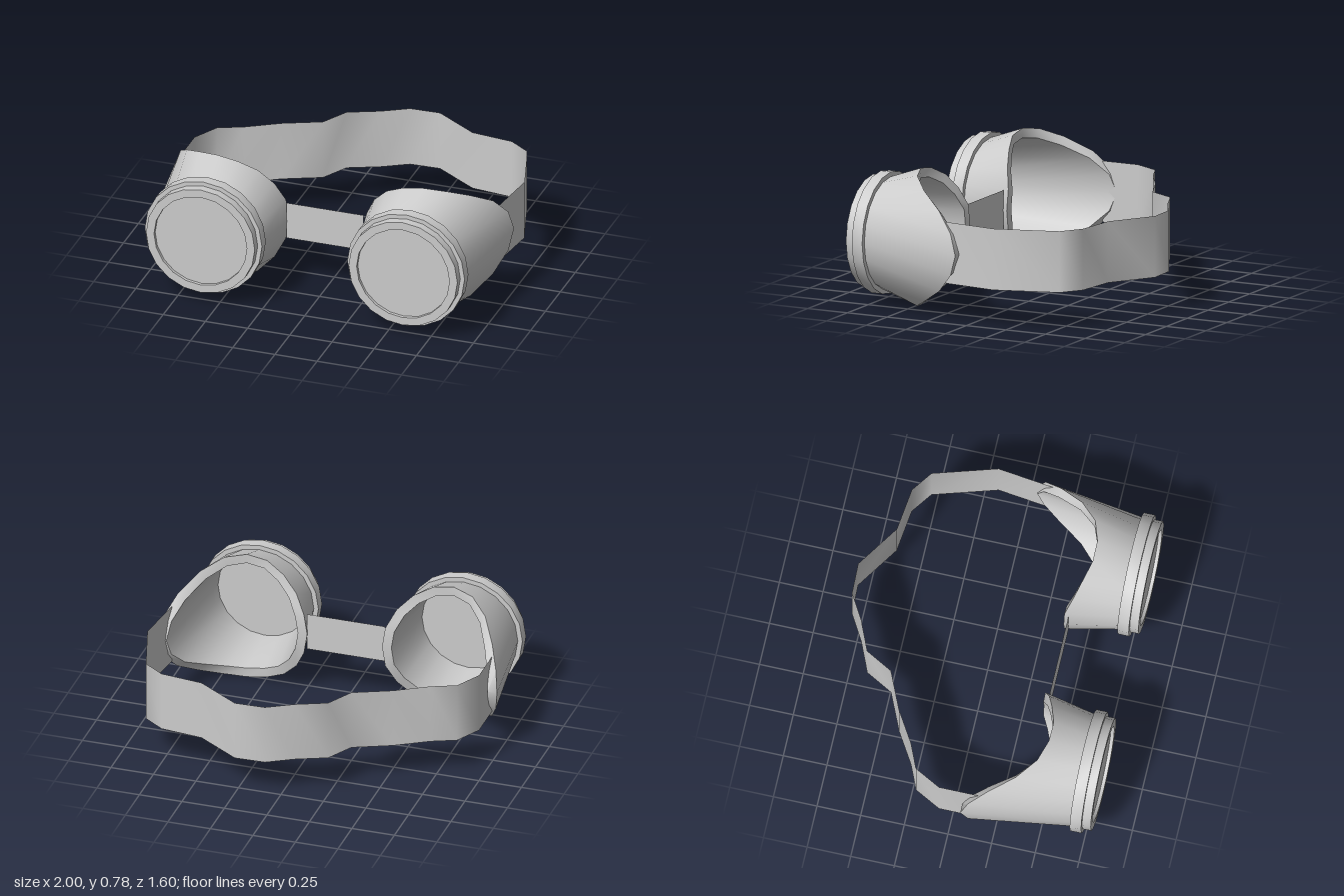
import * as THREE from 'three';
import { toCreasedNormals } from 'three/addons/utils/BufferGeometryUtils.js';

const SIDES = 20;
const CY = 0.395;
const material = new THREE.MeshStandardMaterial({ color: 0xcccccc });
const thin = new THREE.MeshStandardMaterial({ color: 0xcccccc, side: THREE.DoubleSide });

// Depth of the face-side rim, from the temple (0) through the top (5) to the nose (10)
const RIM_Z = [0.07, 0.11, 0.21, 0.35, 0.45, 0.49, 0.49, 0.455, 0.42, 0.385, 0.385];

// Cup profile: [radius, z, centre x]; z null follows the rim curve
const PROFILE = [
  [0.275, 0.78, 0.6],
  [0.335, null, 0.61],
  [0.39, null, 0.61],
  [0.32, 0.685, 0.6],
  [0.347, 0.685, 0.6],
  [0.347, 0.75, 0.6],
  [0.322, 0.75, 0.6],
  [0.322, 0.8, 0.6],
  [0.275, 0.8, 0.6],
  [0.275, 0.78, 0.6],
];

function meshFrom(positions, index, mat, name, crease) {
  let g = new THREE.BufferGeometry();
  g.setAttribute('position', new THREE.Float32BufferAttribute(positions, 3));
  g.setIndex(index);
  if (crease) g = toCreasedNormals(g, crease);
  else g.computeVertexNormals();
  const mesh = new THREE.Mesh(g, mat);
  mesh.name = name;
  return mesh;
}

// Hollow eye cup with its front ring and lip; side is +1 or -1
function eyeCup(side, name) {
  const pos = [], idx = [];
  for (const [r, z, cx] of PROFILE) {
    for (let i = 0; i < SIDES; i++) {
      const a = (i / SIDES) * Math.PI * 2;
      const rimZ = RIM_Z[Math.min(i, SIDES - i)];
      pos.push(side * (cx + r * Math.cos(a)), CY + r * Math.sin(a), z === null ? rimZ : z);
    }
  }
  const tri = (a, b, c) => (side > 0 ? idx.push(a, b, c) : idx.push(a, c, b));
  for (let p = 0; p < PROFILE.length - 1; p++) {
    for (let i = 0; i < SIDES; i++) {
      const j = (i + 1) % SIDES;
      const a = p * SIDES + i, b = p * SIDES + j;
      tri(a, b, b + SIDES);
      tri(a, b + SIDES, a + SIDES);
    }
  }
  return meshFrom(pos, idx, material, name, 0.7);
}

// Upright band of thin material following [x, z] points
function band(points, y0, y1, name) {
  const pos = [], idx = [];
  points.forEach(([x, z], i) => {
    pos.push(x, y0, z, x, y1, z);
    if (i) {
      const k = 2 * i;
      idx.push(k - 2, k - 1, k + 1, k - 2, k + 1, k);
    }
  });
  return meshFrom(pos, idx, thin, name);
}

export function createModel() {
  const model = new THREE.Group();
  model.name = 'goggles';

  for (const [side, label] of [[1, 'left'], [-1, 'right']]) {
    model.add(eyeCup(side, label + 'EyeCup'));
    // Lens set just behind the lip
    const lens = new THREE.Mesh(new THREE.CircleGeometry(0.275, SIDES), thin);
    lens.position.set(side * 0.6, CY, 0.78);
    lens.name = label + 'Lens';
    model.add(lens);
  }

  // Nose bridge
  model.add(band([[0.228, 0.41], [-0.228, 0.41]], 0.29, 0.51, 'noseBridge'));

  // Loose head strap
  const strap = [
    [-0.94, 0.16], [-0.94, -0.065], [-0.86, -0.215], [-0.72, -0.275], [-0.54, -0.385],
    [-0.325, -0.48], [-0.24, -0.635], [-0.065, -0.71], [0.08, -0.795], [0.255, -0.8],
    [0.505, -0.635], [0.75, -0.605], [0.87, -0.52], [0.98, -0.16], [0.94, 0.16],
  ];
  model.add(band(strap, 0.22, 0.57, 'headStrap'));
  return model;
}
